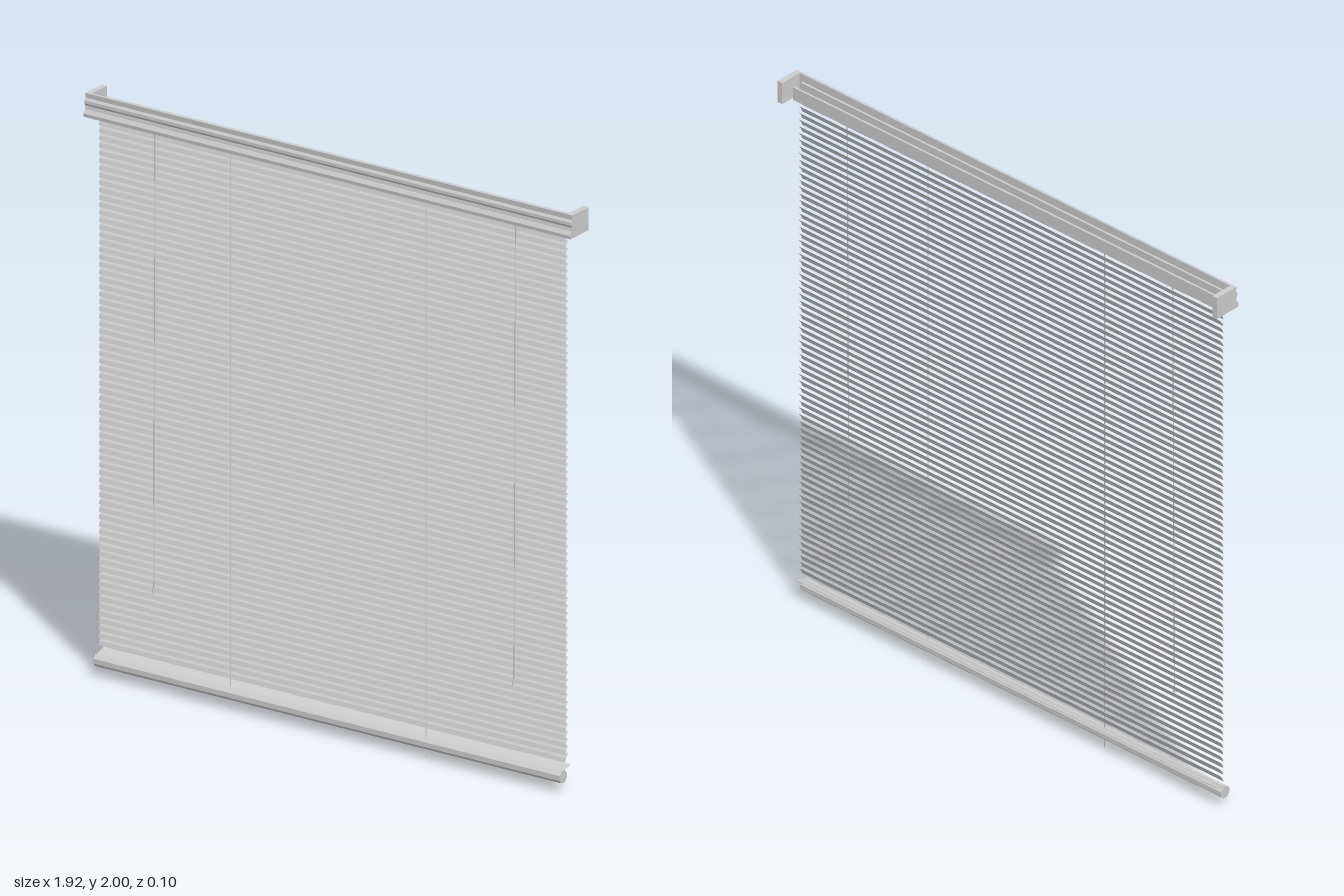
import * as THREE from 'three';

export function createModel() {
  const blind = new THREE.Group();
  blind.name = 'windowBlind';
  const metal = new THREE.MeshStandardMaterial({ color: 0xcccccc, flatShading: true, side: THREE.DoubleSide });

  const add = (name, geometry, x = 0, y = 0, z = 0, parent = blind) => {
    const mesh = new THREE.Mesh(geometry, metal);
    mesh.name = name;
    mesh.position.set(x, y, z);
    parent.add(mesh);
    return mesh;
  };

  // Runs a closed (z, y) cross-section along x, centred on x = 0
  const rail = (points, length) => {
    const shape = new THREE.Shape(points.map(([z, y]) => new THREE.Vector2(-z, y)));
    return new THREE.ExtrudeGeometry(shape, { depth: length, bevelEnabled: false })
      .translate(0, 0, -length / 2)
      .rotateY(Math.PI / 2);
  };

  // Moulded valance across the front
  add('valance', rail([
    [0.033, 1.92], [0.05, 1.92], [0.052, 1.932], [0.043, 1.945], [0.041, 1.957],
    [0.046, 1.965], [0.046, 1.975], [0.04, 1.983], [0.042, 2], [0.033, 2],
  ], 1.92));

  // End returns that carry the valance
  for (const side of [-1, 1]) {
    add(side > 0 ? 'leftBracket' : 'rightBracket', new THREE.BoxGeometry(0.02, 0.08, 0.09), side * 0.95, 1.96, -0.006);
  }

  // Open-topped headrail with rolled lips
  add('headrail', rail([
    [-0.02, 1.93], [0.026, 1.93], [0.026, 1.978], [0.018, 1.978], [0.018, 1.974], [0.023, 1.974],
    [0.023, 1.933], [-0.017, 1.933], [-0.017, 1.974], [-0.012, 1.974], [-0.012, 1.978], [-0.02, 1.978],
  ], 1.84));

  // Closed slats, each overlapping the top edge of the one below
  const slats = new THREE.Group();
  slats.name = 'slats';
  blind.add(slats);
  const slatGeometry = rail([
    [0.009, -0.014], [0.004, 0], [-0.007, 0.014],
    [-0.008, 0.0135], [0.003, -0.0005], [0.008, -0.014],
  ], 1.84);
  const count = 71, pitch = 0.0256;
  for (let i = 0; i < count; i++) add('slat', slatGeometry, 0, 0.114 + i * pitch, 0.015, slats);

  // Bottom rail: eight-sided bar with a sloping slat on top
  const octagon = Array.from({ length: 8 }, (_, i) => {
    const a = (i + 0.5) * Math.PI / 4;
    return [0.033 + 0.022 * Math.cos(a), 0.054 + 0.022 * Math.sin(a)];
  });
  add('bottomRail', rail(octagon, 1.84));
  add('bottomSlat', rail([[0.035, 0.073], [0.015, 0.081], [-0.005, 0.086], [-0.005, 0.084], [0.015, 0.079], [0.035, 0.071]], 1.84));

  // Ladder cords running through the bottom rail
  const ladderGeometry = new THREE.CylinderGeometry(0.002, 0.002, 1.94, 6);
  for (const x of [-0.395, 0.377]) add('ladderCord', ladderGeometry, x, 0.97, 0.031);

  // Pull cords with small tassels
  const pullGeometry = new THREE.CylinderGeometry(0.002, 0.002, 1.6, 6);
  const tasselGeometry = new THREE.CylinderGeometry(0.003, 0.006, 0.018, 8);
  for (const x of [-0.69, 0.732]) {
    const cord = add('pullCord', pullGeometry, x, 1.15, 0.037);
    cord.rotation.x = -0.005;
    add('tassel', tasselGeometry, x, 0.343, 0.043);
  }
  return blind;
}
